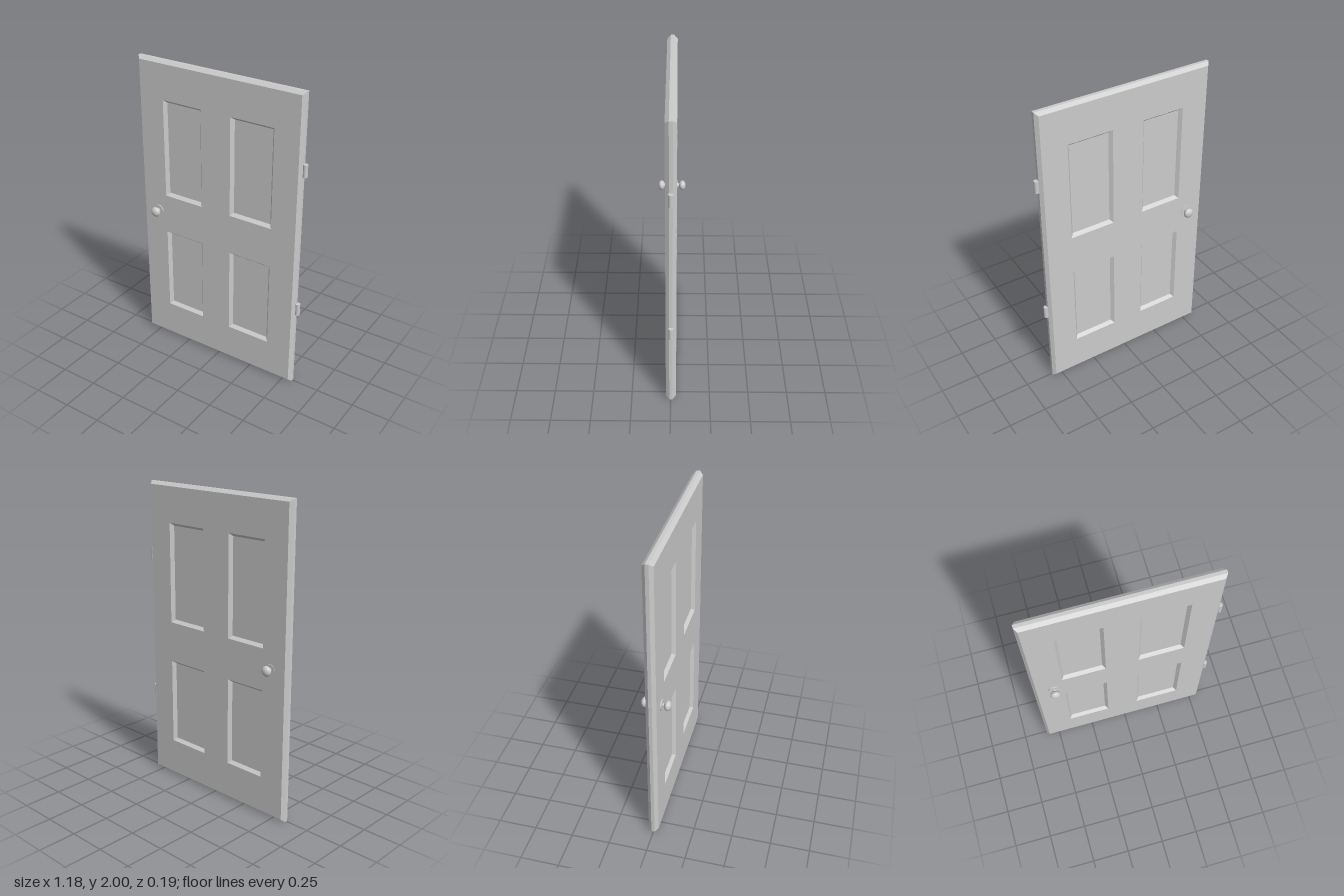
import * as THREE from 'three';

const material = new THREE.MeshStandardMaterial({ color: 0xcccccc });
const Z = -0.002; // mid-plane of the door leaf
const HALF = 0.0325; // half the leaf thickness
const BEVEL_DEPTH = 0.022;
const BEVEL_WIDTH = 0.018;
const CORE = 2 * (HALF - BEVEL_DEPTH);

function add(parent, name, geometry, x = 0, y = 0, z = 0) {
  const mesh = new THREE.Mesh(geometry, material);
  mesh.name = name;
  mesh.position.set(x, y, z);
  parent.add(mesh);
  return mesh;
}

function trace(path, x0, x1, y0, y1) {
  path.moveTo(x0, y0);
  path.lineTo(x1, y0);
  path.lineTo(x1, y1);
  path.lineTo(x0, y1);
  path.closePath();
  return path;
}

// Knob, stem and rosette turned around one axis, pointing along +z
function knobGeometry() {
  const profile = [[0, 0], [0.035, 0], [0.035, 0.007], [0.0125, 0.007], [0.0125, 0.02]]
    .map(([r, h]) => new THREE.Vector2(r, h));
  const plate = new THREE.LatheGeometry(profile, 32).toNonIndexed();
  plate.computeVertexNormals();
  return plate.rotateX(Math.PI / 2);
}

export function createModel() {
  const door = new THREE.Group();
  door.name = 'door';

  // Leaf: bevelled slab with four bevelled openings
  const leaf = trace(new THREE.Shape(), -0.5905, 0.5665, 0, 2);
  const columns = [[-0.402, -0.122], [0.087, 0.383]];
  const rows = [[0.255, 0.833], [1.1, 1.753]];
  const panels = new THREE.Group();
  panels.name = 'recessedPanels';
  for (const [xa, xb] of columns) {
    for (const [ya, yb] of rows) {
      const [x0, x1] = [xa + BEVEL_WIDTH, xb - BEVEL_WIDTH];
      const [y0, y1] = [ya + BEVEL_WIDTH, yb - BEVEL_WIDTH];
      leaf.holes.push(trace(new THREE.Path(), x0, x1, y0, y1));
      add(panels, 'recessedPanel', new THREE.BoxGeometry(x1 - x0, y1 - y0, CORE),
        (x0 + x1) / 2, (y0 + y1) / 2, Z);
    }
  }
  add(door, 'leaf', new THREE.ExtrudeGeometry(leaf, {
    depth: CORE,
    bevelEnabled: true,
    bevelSegments: 1,
    bevelThickness: BEVEL_DEPTH,
    bevelSize: BEVEL_WIDTH,
    bevelOffset: -BEVEL_WIDTH,
  }), 0, 0, Z - CORE / 2);
  door.add(panels);

  // Door knobs, one on each face
  for (const side of [1, -1]) {
    const handle = new THREE.Group();
    handle.name = side > 0 ? 'frontKnob' : 'backKnob';
    add(handle, 'rosetteAndStem', knobGeometry(), 0, 0, HALF - 0.002);
    const knob = add(handle, 'knob', new THREE.SphereGeometry(0.0325, 32, 20), 0, 0, 0.07);
    knob.scale.z = 0.7;
    handle.position.set(-0.463, 0.98, 0);
    if (side < 0) handle.rotation.y = Math.PI;
    door.add(handle);
  }

  // Hinge barrels on the left edge
  for (const y of [0.571, 1.526]) {
    add(door, 'hinge', new THREE.CylinderGeometry(0.015, 0.015, 0.08, 24), 0.5755, y, Z);
  }
  return door;
}
